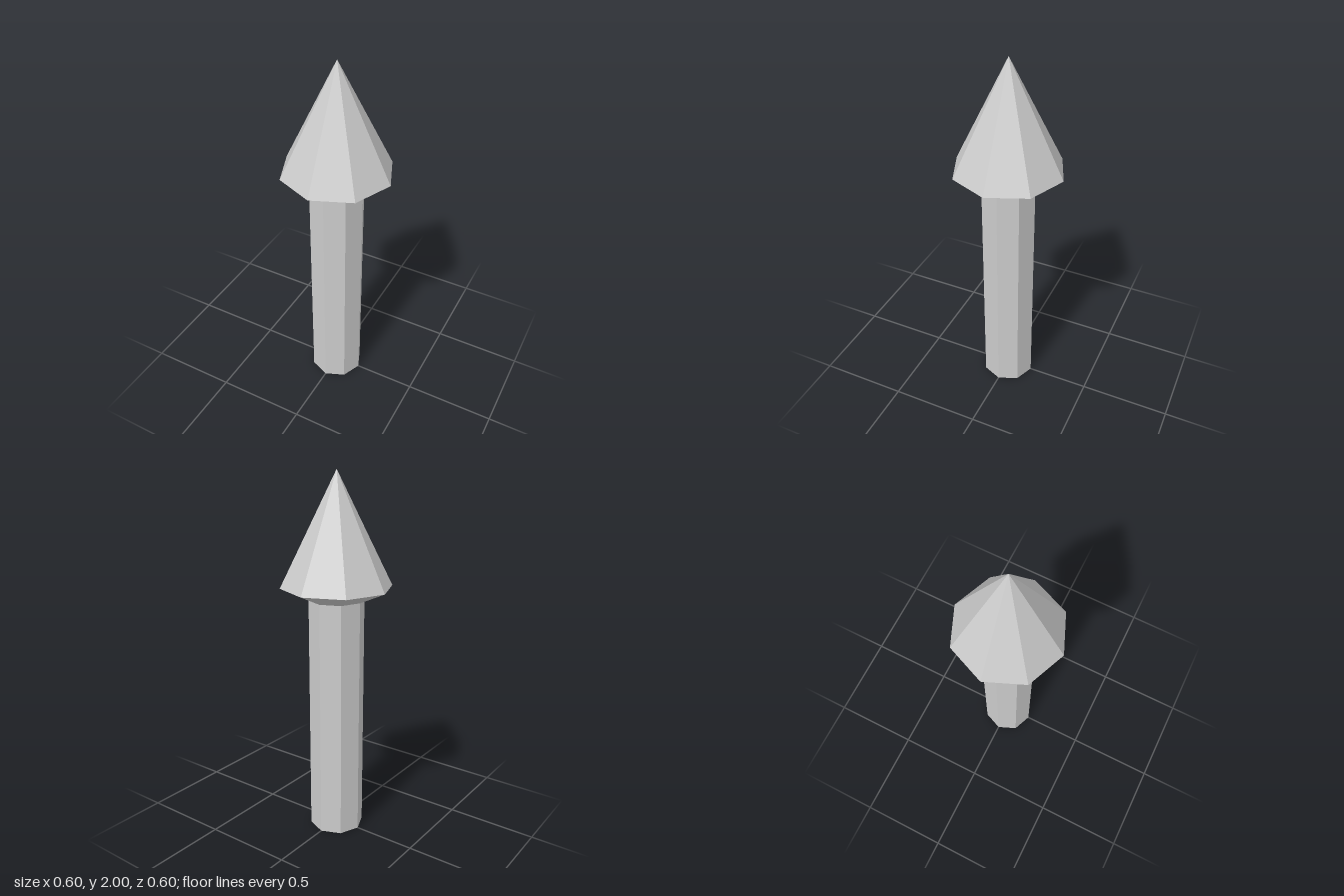
import * as THREE from 'three';

const SIDES = 8;

export function createModel() {
  const model = new THREE.Group();
  const material = new THREE.MeshStandardMaterial({ color: 0xcccccc, flatShading: true });

  // Adds an eight-sided section standing between two heights
  function addSection(name, rBottom, rTop, yBottom, yTop, open) {
    const height = yTop - yBottom;
    const geometry = rTop === 0
      ? new THREE.ConeGeometry(rBottom, height, SIDES, 1, open)
      : new THREE.CylinderGeometry(rTop, rBottom, height, SIDES, 1, open);
    const mesh = new THREE.Mesh(geometry, material);
    mesh.name = name;
    mesh.position.y = (yBottom + yTop) / 2;
    model.add(mesh);
  }

  // Straight post with a closed foot
  addSection('shaft', 0.15, 0.15, 0, 1.333, false);
  // Flared underside of the head
  addSection('headCollar', 0.15, 0.3, 1.333, 1.4, true);
  // Pointed head
  addSection('headPoint', 0.3, 0, 1.4, 2, true);

  return model;
}
